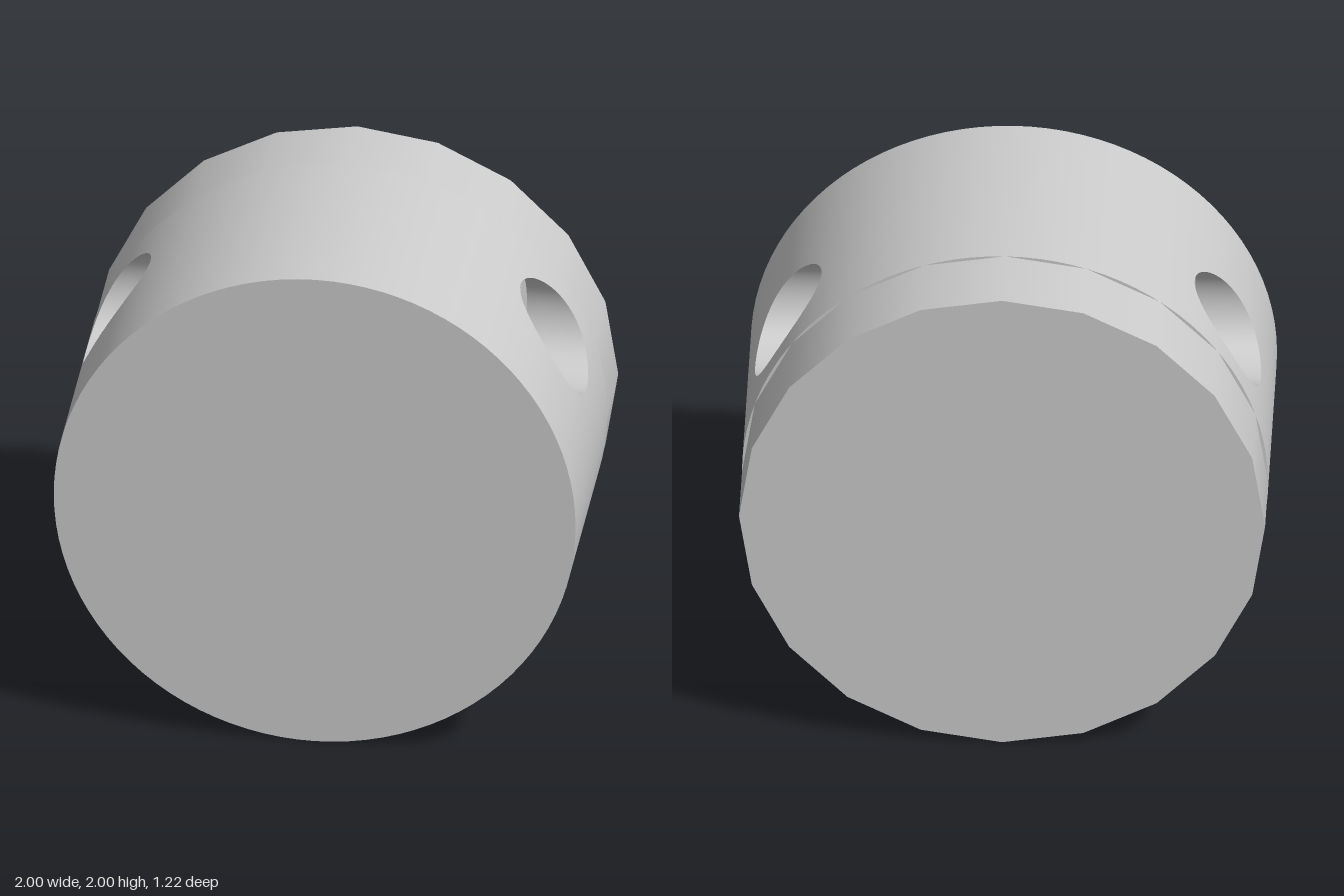
import * as THREE from 'three';

const FRONT = 0.61, STEP = -0.3, BACK = -0.61;      // z of the faces
const HOLE = { r: 0.215, y: 0.49, z: 0.01, floor: 0.705 };
const SEGS = 96, DEG = Math.PI / 180;

// Smooth grid surface: f(u, v) returns [position, normal]; faces turn towards the normal
function grid(nu, nv, f) {
  const pos = [], nor = [], index = [];
  for (let j = 0; j <= nv; j++) {
    for (let i = 0; i <= nu; i++) {
      const [p, n] = f(i / nu, j / nv);
      pos.push(...p);
      nor.push(...new THREE.Vector3(...n).normalize().toArray());
    }
  }
  const at = (list, k) => new THREE.Vector3().fromArray(list, k * 3);
  const tri = (a, b, c) => {
    const A = at(pos, a);
    const face = at(pos, b).sub(A).cross(at(pos, c).sub(A));
    if (face.dot(at(nor, a)) >= 0) index.push(a, b, c);
    else index.push(a, c, b);
  };
  for (let j = 0; j < nv; j++) {
    for (let i = 0; i < nu; i++) {
      const a = j * (nu + 1) + i, b = a + 1, c = a + nu + 1, d = c + 1;
      tri(a, b, d);
      tri(a, d, c);
    }
  }
  const g = new THREE.BufferGeometry();
  g.setAttribute('position', new THREE.Float32BufferAttribute(pos, 3));
  g.setAttribute('normal', new THREE.Float32BufferAttribute(nor, 3));
  g.setIndex(index);
  return g;
}

const onDrum = (angle, z) => {
  const x = Math.cos(angle), y = Math.sin(angle);
  return [[x, y, z], [x, y, 0]];
};

// Plain stretch of the drum wall between two angles
const wallArc = (from, to) => grid(Math.round((to - from) / 360 * SEGS), 1,
  (u, v) => onDrum((from + (to - from) * u) * DEG, STEP + (FRONT - STEP) * v));

// Point on the border of the unit square (-1..1), running round from one corner
function squareBorder(u) {
  const side = Math.floor(u * 4) % 4, t = (u * 4 - Math.floor(u * 4)) * 2 - 1;
  return [[t, -1], [1, t], [-t, 1], [-1, -t]][side];
}

// Point on the hole's outline as [y, z], in step with the square border
function rim(u) {
  const a = u * Math.PI * 2 - Math.PI * 0.75;
  return [HOLE.y + HOLE.r * Math.sin(a), HOLE.z + HOLE.r * Math.cos(a)];
}

// 60 degree patch of drum wall that surrounds a hole
const holedPatch = (side) => grid(64, 10, (u, v) => {
  const [y, z] = rim(u), [sz, sa] = squareBorder(u);
  const angle = THREE.MathUtils.lerp(Math.asin(y), (30 + 30 * sa) * DEG, v);
  const depth = THREE.MathUtils.lerp(z, (FRONT + STEP) / 2 + sz * (FRONT - STEP) / 2, v);
  return onDrum(side > 0 ? angle : Math.PI - angle, depth);
});

// Bore running in along x from the drum surface to its flat floor
const bore = (side) => grid(64, 1, (u, v) => {
  const [y, z] = rim(u);
  const x = THREE.MathUtils.lerp(Math.sqrt(1 - y * y), HOLE.floor, v);
  return [[side * x, y, z], [0, HOLE.y - y, HOLE.z - z]];
});

export function createModel() {
  const model = new THREE.Group();
  model.name = 'drum';
  const material = new THREE.MeshStandardMaterial({ color: 0xcccccc });
  const add = (name, geometry) => {
    const mesh = new THREE.Mesh(geometry, material);
    mesh.name = name;
    mesh.position.y = 1;
    model.add(mesh);
  };

  // Smooth front body
  add('frontFace', new THREE.CircleGeometry(1, SEGS).translate(0, 0, FRONT));
  add('upperWall', wallArc(60, 120));
  add('lowerWall', wallArc(180, 360));
  add('bodyBackRim', new THREE.RingGeometry(0.97, 1, SEGS).rotateY(Math.PI).translate(0, 0, STEP));

  // Blind hole on each side
  for (const [name, side] of [['left', 1], ['right', -1]]) {
    add(name + 'HoledWall', holedPatch(side));
    add(name + 'HoleBore', bore(side));
    add(name + 'HoleFloor', new THREE.CircleGeometry(HOLE.r, 64)
      .rotateY(side * Math.PI / 2).translate(side * HOLE.floor, HOLE.y, HOLE.z));
  }

  // Twenty-sided back section
  add('backSection', new THREE.CylinderGeometry(1, 1, STEP - BACK, 20)
    .rotateX(Math.PI / 2).translate(0, 0, (STEP + BACK) / 2));

  return model;
}
